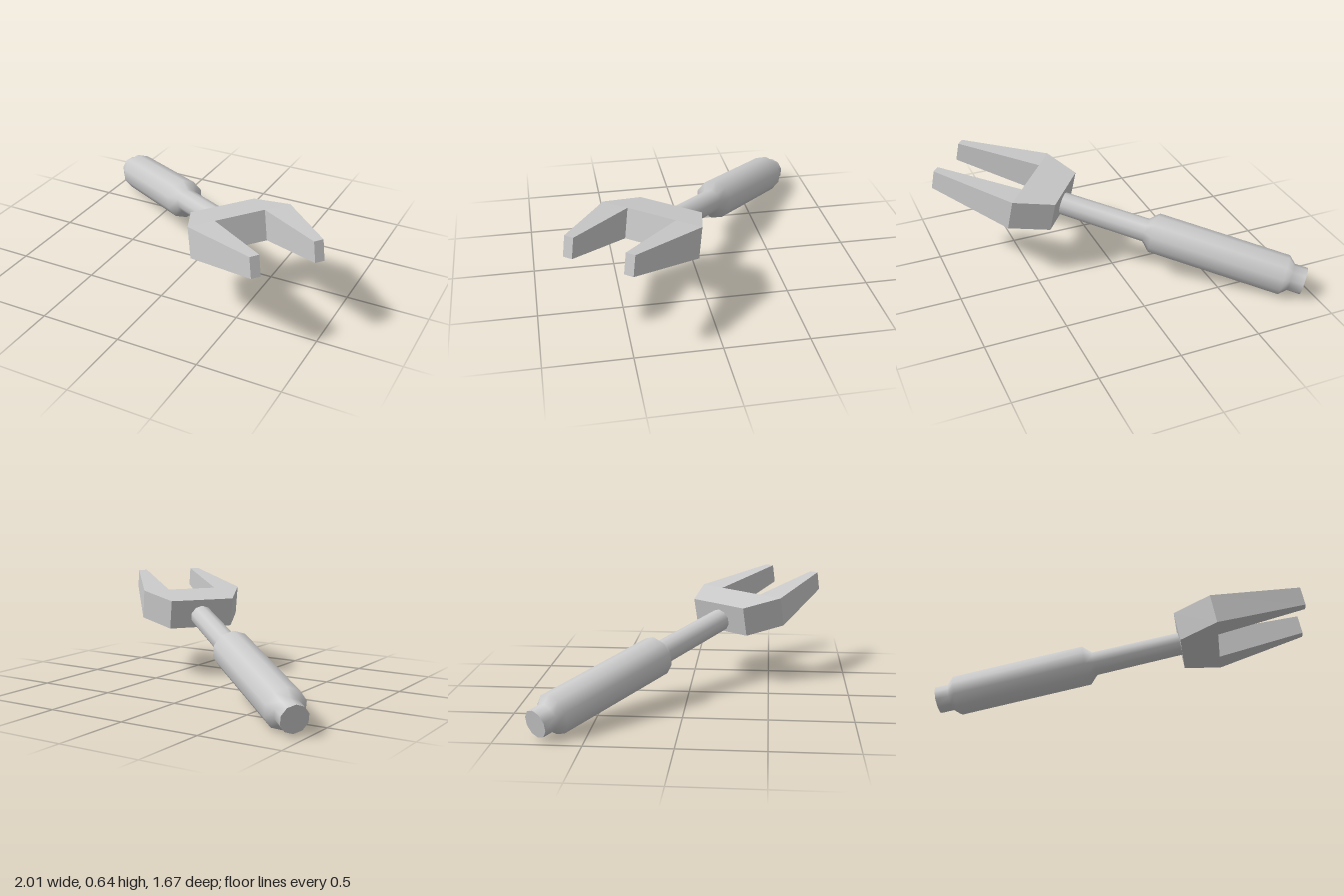
import * as THREE from 'three';

const SIDES = 10;
const BACK_T = 0.188, TIP_T = 0.122; // head thickness at root and tip
const ROOT = 0.233, TIP = 0.785;     // where the prongs start and end

export function createModel() {
  const model = new THREE.Group();
  model.name = 'forkTool';
  const material = new THREE.MeshStandardMaterial({ color: 0xcccccc });
  const add = (name, geometry) => {
    const mesh = new THREE.Mesh(geometry, material);
    mesh.name = name;
    model.add(mesh);
    return mesh;
  };

  // Flat plate from an outline (across, along), thinning toward the tip
  const plate = (outline) => {
    const shape = new THREE.Shape(outline.map(([x, y]) => new THREE.Vector2(x, y)));
    const g = new THREE.ExtrudeGeometry(shape, { depth: 1, bevelEnabled: false });
    g.translate(0, 0, -0.5).rotateX(Math.PI / 2);
    const p = g.attributes.position;
    for (let i = 0; i < p.count; i++) {
      const k = THREE.MathUtils.clamp((p.getZ(i) - ROOT) / (TIP - ROOT), 0, 1);
      p.setY(i, p.getY(i) * THREE.MathUtils.lerp(BACK_T, TIP_T, k));
    }
    g.computeVertexNormals();
    return g;
  };

  // Fork head: flared base and two tapered prongs
  add('headBase', plate([[-0.208, 0], [0.208, 0], [0.328, ROOT], [-0.328, ROOT]]));
  for (const [name, s] of [['rightProng', 1], ['leftProng', -1]]) {
    add(name, plate([[s * 0.16, ROOT], [s * 0.328, ROOT], [s * 0.221, TIP], [s * 0.163, TIP]]));
  }

  // Turned handle: end stub, chamfered grip and thin shaft
  const profile = [
    [0.084, -1.563], [0.084, -1.48], [0.125, -1.437],
    [0.125, -0.603], [0.074, -0.55], [0.071, 0.03],
  ].map(([r, y]) => new THREE.Vector2(r, y));
  const drop = -0.018;
  add('handle', new THREE.LatheGeometry(profile, SIDES).rotateX(Math.PI / 2)).position.y = drop;

  // Flat end of the handle
  const cap = new THREE.CircleGeometry(0.084, SIDES, Math.PI / 2).rotateY(Math.PI);
  add('handleEnd', cap).position.set(0, drop, -1.563);

  // Lay the tool diagonally with the head raised
  model.rotation.set(-0.201, 0.905, 0, 'YXZ');
  model.position.set(0.257, 0.43, 0.179);
  const group = new THREE.Group();
  group.name = 'model';
  group.add(model);
  return group;
}
